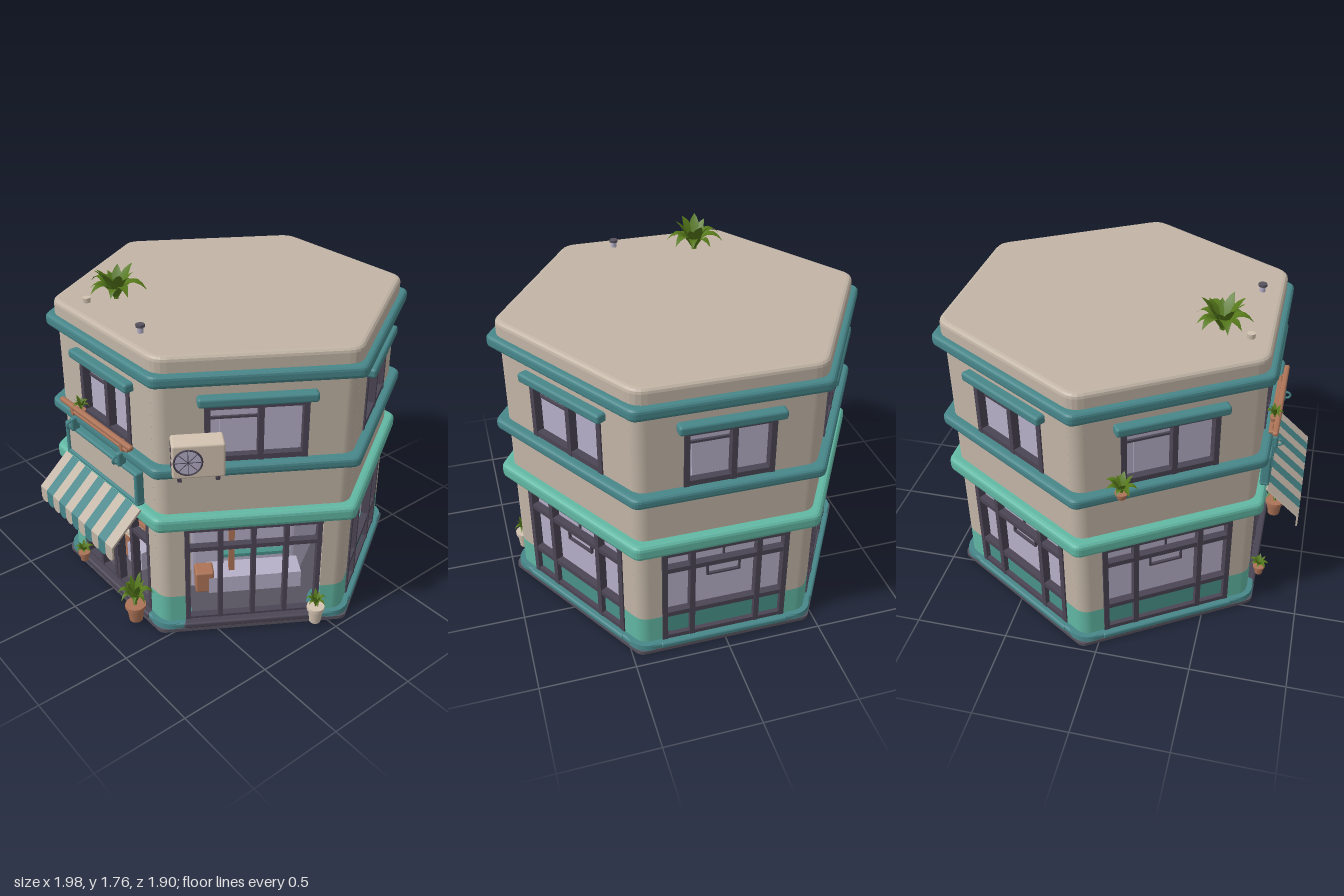
import * as THREE from 'three';
import { RoundedBoxGeometry } from 'three/addons/geometries/RoundedBoxGeometry.js';

const mat = (name, color, side = THREE.FrontSide) => {
  const m = new THREE.MeshStandardMaterial({ color, side });
  m.name = name;
  return m;
};

export function createModel() {
  const M = {
    wall: mat('plaster', 0xc2b5a6), teal: mat('teal trim', 0x47868a), mint: mat('mint paint', 0x62b8a4),
    panel: mat('green panel', 0x4a938a), frame: mat('window frame', 0x4b4554), glass: mat('pale glass', 0xb6b0c8),
    wood: mat('terracotta wood', 0xac7357), leaf: mat('leaf', 0x55781a, THREE.DoubleSide),
    cream: mat('cream', 0xd2c2b0), dark: mat('dark floor', 0x57535f),
  };
  const model = new THREE.Group();
  model.name = 'cornerShop';
  const INSET = 0.05, R = 0.08;    // wall set back from the trim, corner radius

  const add = (parent, name, geo, material, x = 0, y = 0, z = 0) => {
    const m = new THREE.Mesh(geo, material);
    m.name = name;
    m.position.set(x, y, z);
    parent.add(m);
    return m;
  };
  const box = (p, name, m, w, h, d, x, y, z) => add(p, name, new THREE.BoxGeometry(w, h, d), m, x, y, z);
  const soft = (p, name, m, w, h, d, x, y, z, r = 0.012) =>
    add(p, name, new RoundedBoxGeometry(w, h, d, 2, r), m, x, y, z);
  const cyl = (p, name, m, r1, r2, h, x, y, z, n = 14) =>
    add(p, name, new THREE.CylinderGeometry(r1, r2, h, n), m, x, y, z);
  const rect = (x0, y0, x1, y1) => new THREE.Path([
    new THREE.Vector2(x0, y0), new THREE.Vector2(x1, y0), new THREE.Vector2(x1, y1), new THREE.Vector2(x0, y1)]);

  // Plan of the trim as (x, z) corners, and the same plan moved inwards by d
  const plan = [[-0.472, 0.77], [0.472, 0.77], [1, -0.08], [0.472, -0.95], [-0.472, -0.95], [-1, -0.08]]
    .map(p => new THREE.Vector2(...p));
  const normals = plan.map((p, i) => {
    const d = plan[(i + 1) % 6].clone().sub(p).normalize();
    return new THREE.Vector2(-d.y, d.x);
  });
  const inset = d => plan.map((p, i) => {
    const a = normals[(i + 5) % 6], b = normals[i];
    return p.clone().sub(a.clone().add(b).multiplyScalar(d / (1 + a.dot(b))));
  });

  const building = new THREE.Group();
  building.name = 'building';
  model.add(building);

  // Six-sided slab with rounded corners and a soft rim
  const slab = (name, m, d, y0, y1, bevel, cut = 0.03) => {
    const s = new THREE.Shape();
    const v = inset(d).map(p => new THREE.Vector2(p.x, -p.y));
    v.forEach((p, i) => {
      const q = v[(i + 5) % 6], n = v[(i + 1) % 6];
      const a = p.clone().lerp(q, cut / p.distanceTo(q)), b = p.clone().lerp(n, cut / p.distanceTo(n));
      if (i) s.lineTo(a.x, a.y); else s.moveTo(a.x, a.y);
      s.quadraticCurveTo(p.x, p.y, b.x, b.y);
    });
    s.closePath();
    const g = new THREE.ExtrudeGeometry(s, {
      depth: y1 - y0 - 2 * bevel, bevelEnabled: bevel > 0, bevelThickness: bevel, bevelSize: bevel,
      bevelOffset: -bevel, bevelSegments: 3, curveSegments: 4 });
    g.rotateX(-Math.PI / 2);
    add(building, name, g, m, 0, y0 + bevel, 0);
  };
  slab('floorSlab', M.dark, 0.015, 0, 0.02, 0);
  slab('interiorCore', M.glass, 0.35, 0.02, 0.64, 0);
  slab('ceiling', M.wall, 0.12, 0.63, 0.66, 0);
  slab('lowerBand', M.mint, 0, 0.65, 0.735, 0.025);
  slab('middleBand', M.teal, 0, 0.965, 1.025, 0.02);
  slab('topBand', M.teal, 0, 1.45, 1.515, 0.02);
  slab('roof', M.wall, 0.035, 1.49, 1.595, 0.025, 0.06);

  // Rounded corner piers
  inset(INSET + R).forEach(p => {
    cyl(building, 'pierUpper', M.wall, R, R, 1.29, p.x, 0.855, p.y, 24);
    cyl(building, 'pierLower', M.mint, R, R, 0.19, p.x, 0.115, p.y, 24);
    cyl(building, 'pierBase', M.teal, R + 0.03, R + 0.035, 0.035, p.x, 0.0325, p.y, 24);
  });

  // Frame made of upright and level bars
  const grid = (p, x, y0, y1, z, ups, levels, t) => {
    ups.forEach(u => box(p, 'mullion', M.frame, t, y1 - y0, 0.045, u, (y0 + y1) / 2, z));
    levels.forEach(l => box(p, 'transom', M.frame, 2 * x, t, 0.04, 0, l, z));
  };

  // Six sides; in each, z = 0 is the face of the wall
  const corners = inset(INSET);
  const sides = corners.map((a, k) => {
    const b = corners[(k + 1) % 6], half = a.distanceTo(b) / 2 - R * Math.tan(Math.PI / 6);
    const f = new THREE.Group();
    f.name = 'side' + (k + 1);
    f.position.set((a.x + b.x) / 2, 0, (a.y + b.y) / 2);
    f.rotation.y = Math.atan2(normals[k].x, normals[k].y);
    building.add(f);
    const flat = k % 3 === 0, W = flat ? 0.335 : 0.355, U = flat ? 0.225 : 0.25;

    // Wall with shop opening below and window hole above
    const s = new THREE.Shape();
    [[-half, 0.21], [-W, 0.21], [-W, 0.635], [W, 0.635], [W, 0.21], [half, 0.21], [half, 1.5], [-half, 1.5]]
      .forEach(([x, y], i) => (i ? s.lineTo(x, y) : s.moveTo(x, y)));
    s.holes.push(rect(-U, 1.03, U, 1.335));
    add(f, 'wall', new THREE.ExtrudeGeometry(s, { depth: 0.09, bevelEnabled: false }), M.wall, 0, 0, -0.09);
    for (const q of [-1, 1]) {
      box(f, 'paintedDado', M.mint, half - W, 0.18, 0.09, q * (half + W) / 2, 0.12, -0.045);
      soft(f, 'baseTrim', M.teal, half - W + 0.03, 0.035, 0.08, q * (half + W) / 2, 0.0325, -0.008);
    }

    // Upper window with sashes, curtain and hood
    box(f, 'upperGlass', M.glass, 2 * U, 0.31, 0.02, 0, 1.18, -0.055);
    grid(f, U, 1.025, 1.335, -0.015, [-U + 0.014, 0.02, U - 0.014], [1.04, 1.322], 0.028);
    box(f, 'sash', M.frame, U, 0.012, 0.02, -0.1, 1.245, -0.042);
    box(f, 'curtain', M.glass, 0.15, 0.2, 0.02, -0.1, 1.145, -0.045);
    soft(f, 'windowHood', M.teal, 2 * U + 0.07, 0.05, 0.07, 0, 1.365, 0.015, 0.015);

    // Ground floor glazing
    const open = k < 2;
    soft(f, open ? 'doorStep' : 'sill', open ? M.frame : M.teal, 2 * W + 0.03, 0.035, 0.09, 0, 0.0325, -0.008);
    if (open) {
      const ups = k ? [-0.34, -0.17, 0, 0.17, 0.34] : [-0.315, -0.16, -0.015, 0.015, 0.16, 0.315];
      grid(f, W, 0.04, 0.635, -0.025, ups, k ? [0.05, 0.5, 0.62] : [0.05, 0.48, 0.62], 0.024);
    } else {
      box(f, 'shopGlass', M.glass, 2 * W, 0.6, 0.02, 0, 0.335, -0.055);
      box(f, 'lowerPanel', M.panel, 2 * W, 0.17, 0.03, 0, 0.13, -0.035);
      grid(f, W, 0.04, 0.635, -0.015, [-W + 0.015, -0.175, 0.175, W - 0.015], [0.06, 0.22, 0.515, 0.62], 0.028);
      for (const y of [0.41, 0.495]) box(f, 'hangingBoardEdge', M.frame, 0.18, 0.01, 0.02, 0, y, -0.04);
      for (const x of [-0.085, 0.085]) box(f, 'hangingBoardSide', M.frame, 0.01, 0.09, 0.02, x, 0.452, -0.04);
      box(f, 'hangingCord', M.frame, 0.01, 0.12, 0.01, 0, 0.56, -0.04);
    }
    return f;
  });
  const [front, right] = sides;

  // Shop interior: shelves and counter behind the door, benches at the side
  box(front, 'shopBackWall', M.cream, 0.6, 0.58, 0.02, 0, 0.335, -0.28);
  for (const y of [0.3, 0.44]) box(front, 'shelf', M.wood, 0.58, 0.018, 0.08, 0, y, -0.235);
  [-0.24, -0.1, 0.06, 0.22].forEach((x, i) =>
    soft(front, 'shelfGoods', i % 2 ? M.wood : M.cream, 0.07, 0.08, 0.06, x, 0.35, -0.235));
  box(front, 'counter', M.wood, 0.16, 0.17, 0.1, -0.2, 0.125, -0.215);
  box(front, 'counterTop', M.cream, 0.24, 0.03, 0.13, -0.19, 0.225, -0.215);
  box(front, 'cabinet', M.cream, 0.2, 0.17, 0.1, 0.19, 0.12, -0.215);
  box(front, 'paleBench', M.glass, 0.14, 0.12, 0.1, -0.05, 0.1, -0.2);
  for (const x of [-0.03, 0.03]) box(front, 'doorHandle', M.frame, 0.014, 0.08, 0.02, x, 0.27, 0);
  box(right, 'benchSeat', M.glass, 0.5, 0.1, 0.14, 0.03, 0.16, -0.195);
  box(right, 'benchBack', M.panel, 0.36, 0.02, 0.04, 0.05, 0.28, -0.235);
  soft(right, 'woodStool', M.wood, 0.1, 0.13, 0.1, -0.24, 0.18, -0.175);
  box(right, 'woodPost', M.wood, 0.03, 0.4, 0.03, -0.09, 0.3, -0.195);

  // Striped awning with scalloped edge
  const awning = new THREE.Group();
  awning.name = 'awning';
  model.add(awning);
  const N = 11, w = 0.71 / N, dy = 0.155, dz = 0.175;
  for (let i = 0; i < N; i++) {
    const m = i % 2 ? M.teal : M.wall, x = -0.357 + (i + 0.5) * w;
    const top = box(awning, 'awningStripe', m, w, 0.012, Math.hypot(dy, dz), x, 0.735 - dy / 2, 0.772 + dz / 2);
    top.rotation.x = Math.atan2(dy, dz);
    const v = new THREE.Shape();
    v.moveTo(-w / 2, 0.02);
    v.lineTo(-w / 2, -0.045);
    v.absellipse(0, -0.045, w / 2, 0.022, Math.PI, 2 * Math.PI, false);
    v.lineTo(w / 2, 0.02);
    add(awning, 'awningScallop', new THREE.ExtrudeGeometry(v, { depth: 0.01, bevelEnabled: false, curveSegments: 8 }), m, x, 0.565, 0.941);
  }

  // Blank sign board with frame and hanging brackets
  box(model, 'signPanel', M.wall, 0.63, 0.16, 0.02, -0.005, 0.84, 0.757);
  for (const y of [0.757, 0.925]) soft(model, 'signRail', M.teal, 0.68, 0.026, 0.05, -0.005, y, 0.755);
  for (const x of [-0.33, 0.32]) soft(model, 'signStile', M.teal, 0.026, 0.19, 0.05, x, 0.84, 0.755);
  for (const x of [-0.24, 0.2]) {
    soft(model, 'signBracket', M.teal, 0.03, 0.08, 0.05, x, 0.965, 0.775);
    const ring = add(model, 'bracketRing', new THREE.TorusGeometry(0.018, 0.007, 6, 12), M.teal, x, 0.965, 0.805);
    ring.rotation.y = Math.PI / 2;
  }

  // Wooden balcony rail
  soft(model, 'balconyRail', M.wood, 0.66, 0.028, 0.03, -0.01, 1.077, 0.785);
  soft(model, 'balconyShelf', M.wood, 0.54, 0.018, 0.04, 0, 1.038, 0.765, 0.008);
  for (const x of [-0.24, 0.22]) box(model, 'railPost', M.wood, 0.022, 0.06, 0.022, x, 1.05, 0.775);

  // Air conditioner
  const ac = new THREE.Group();
  ac.name = 'airConditioner';
  ac.position.set(-0.29, 1.115, 0.08);
  right.add(ac);
  soft(ac, 'unitCase', M.cream, 0.25, 0.18, 0.115, 0, 0, 0);
  const disc = cyl(ac, 'fan', M.glass, 0.066, 0.066, 0.006, -0.05, 0, 0.057, 24);
  disc.rotation.x = Math.PI / 2;
  add(ac, 'fanRing', new THREE.TorusGeometry(0.066, 0.005, 6, 24), M.frame, -0.05, 0, 0.059);
  for (let i = 0; i < 4; i++) {
    const blade = box(ac, 'fanBlade', M.frame, 0.12, 0.003, 0.004, -0.05, 0, 0.06);
    blade.rotation.z = i * Math.PI / 4;
    for (let j = 0; j < 2; j++) box(ac, 'sideVent', M.frame, 0.004, 0.014, 0.028, -0.125, -0.06 + i * 0.04, -0.025 + j * 0.05);
  }
  for (const x of [-0.09, 0.09]) box(ac, 'unitFoot', M.frame, 0.02, 0.03, 0.12, x, -0.095, -0.01);

  // Arching, tapered leaf
  const leafGeo = (len, wide, rise, droop) => {
    const g = new THREE.PlaneGeometry(1, 1, 2, 6), p = g.attributes.position;
    for (let i = 0; i < p.count; i++) {
      const t = p.getY(i) + 0.5, side = p.getX(i) * 2;
      const half = wide * Math.sin(Math.PI * Math.pow(0.04 + 0.96 * t, 0.8));
      p.setXYZ(i, -side * half, rise * t - droop * t * t + Math.abs(side) * half * 0.2, len * t);
    }
    g.computeVertexNormals();
    return g;
  };
  const plant = (name, x, y, z, r, h, n, pot, potR = 0, potH = 0) => {
    const g = new THREE.Group();
    g.name = name;
    g.position.set(x, y, z);
    model.add(g);
    if (pot) {
      cyl(g, 'pot', pot, potR, potR * 0.72, potH, 0, potH / 2, 0);
      cyl(g, 'potRim', pot, potR * 1.12, potR * 1.12, potH * 0.2, 0, potH * 0.9, 0);
    }
    const outer = leafGeo(r, r * 0.21, h * 2, h * 1.6), inner = leafGeo(r * 0.65, r * 0.18, h * 1.6, h * 0.6);
    for (let i = 0; i < n * 2; i++) {
      const l = add(g, 'leaf', i % 2 ? inner : outer, M.leaf, 0, potH, 0);
      l.rotation.y = (i + (i % 4) * 0.15) * Math.PI / n;
      l.scale.setScalar(0.88 + 0.12 * Math.sin(i * 2.3));
    }
    cyl(g, 'stem', M.leaf, r * 0.06, r * 0.09, h * 0.3, 0, potH + h * 0.12, 0, 6);
  };
  plant('roofPlant', -0.24, 1.59, 0.475, 0.17, 0.17, 9, null);
  plant('ledgePlant', -0.91, 1.02, 0.13, 0.09, 0.09, 7, M.wood, 0.03, 0.035);
  plant('balconyPlant', -0.175, 1.045, 0.765, 0.055, 0.07, 6, M.wood, 0.022, 0.03);
  plant('doorPlantLarge', 0.3, 0.015, 0.8, 0.1, 0.17, 8, M.wood, 0.05, 0.1);
  plant('doorPlantSmall', -0.27, 0.045, 0.77, 0.06, 0.06, 7, M.wood, 0.03, 0.055);
  plant('sidePlant', 0.91, 0.02, 0.07, 0.06, 0.09, 7, M.cream, 0.042, 0.1);

  // Roof vents
  cyl(model, 'ventPipe', M.glass, 0.015, 0.015, 0.05, 0.19, 1.61, 0.62, 8);
  cyl(model, 'ventCap', M.dark, 0.023, 0.023, 0.014, 0.19, 1.632, 0.62, 8);
  cyl(model, 'smallVent', M.cream, 0.022, 0.02, 0.03, -0.29, 1.605, 0.62, 8);
  return model;
}
